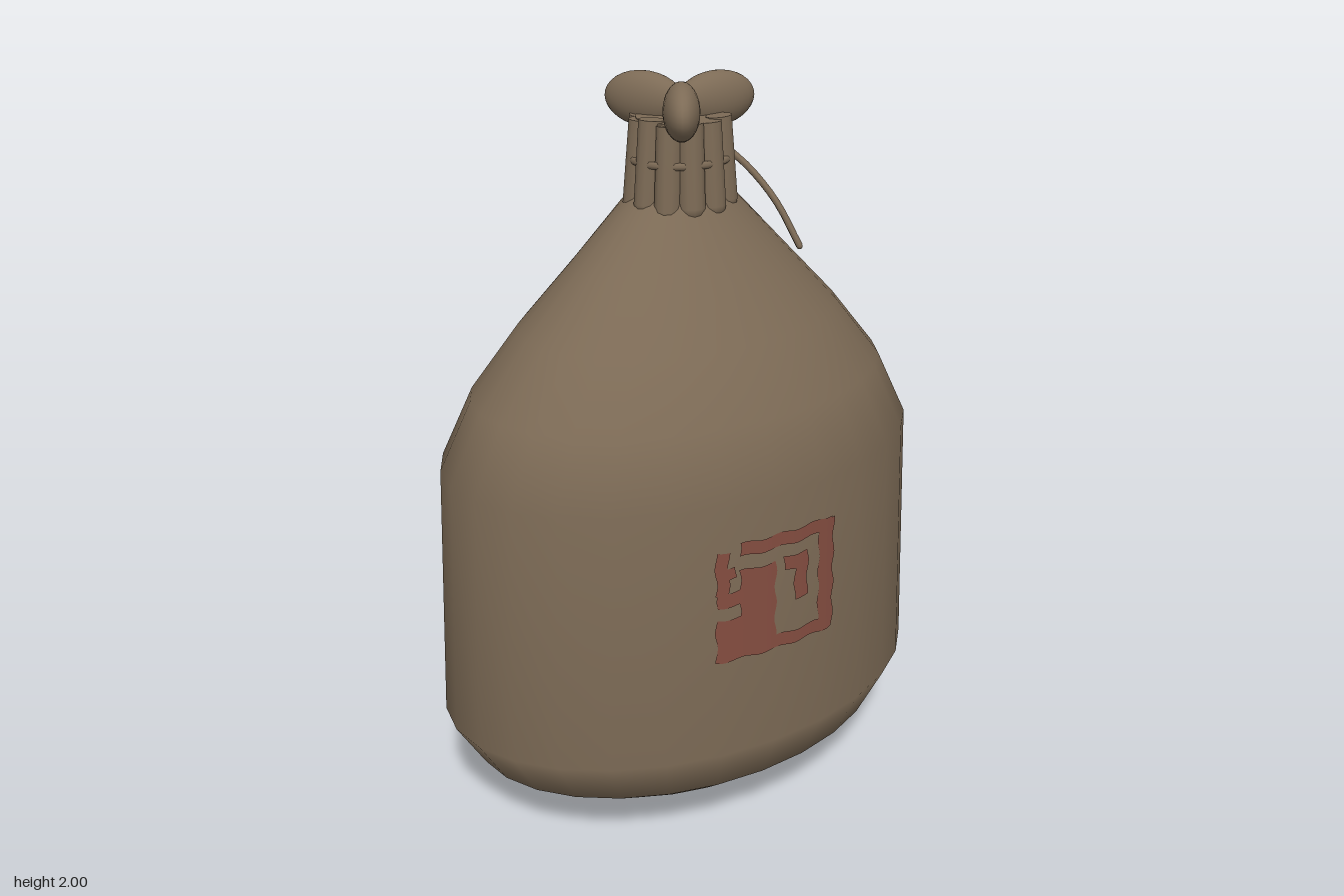
import * as THREE from 'three';
import { mergeVertices } from 'three/addons/utils/BufferGeometryUtils.js';

const cloth = new THREE.MeshStandardMaterial({ color: 0x7d6b56 });
cloth.name = 'brown cloth';
const ink = new THREE.MeshStandardMaterial({ color: 0x844d40 });
ink.name = 'faded red ink';

// Sack rings: half width, half depth, height
const RINGS = [
  [0, 0, 0.005], [0.24, 0.17, 0.03], [0.45, 0.31, 0.09], [0.625, 0.43, 0.19],
  [0.705, 0.486, 0.325], [0.675, 0.465, 1.04], [0.585, 0.402, 1.22],
  [0.45, 0.312, 1.385], [0.3, 0.213, 1.54], [0.165, 0.135, 1.68], [0.12, 0.11, 1.72],
];

function add(group, name, geometry, material = cloth) {
  const mesh = new THREE.Mesh(geometry, material);
  mesh.name = name;
  group.add(mesh);
  return mesh;
}

// Oval lathe with a welded seam so the shading is smooth all round
function sackBody() {
  const points = RINGS.map(([a, , y]) => new THREE.Vector2(a, y));
  const lathe = new THREE.LatheGeometry(points, 28);
  const pos = lathe.attributes.position;
  for (let i = 0; i < pos.count; i++) {
    const [a, b] = RINGS[i % RINGS.length];
    if (a > 0) pos.setZ(i, pos.getZ(i) * b / a);
  }
  lathe.deleteAttribute('uv');
  lathe.deleteAttribute('normal');
  const welded = mergeVertices(lathe, 1e-4);
  welded.computeVertexNormals();
  return welded;
}

// Front surface of the sack's straight middle section
function frontZ(x, y) {
  const t = (y - 0.325) / (1.04 - 0.325);
  const a = THREE.MathUtils.lerp(0.705, 0.675, t);
  const b = THREE.MathUtils.lerp(0.486, 0.465, t);
  return b * Math.sqrt(1 - (x / a) ** 2) + 0.002;
}

// Worn ink patch laid on the cloth, with slightly uneven edges
function inkPatch(x0, y0, x1, y1) {
  const w = x1 - x0, h = y1 - y0;
  const geo = new THREE.PlaneGeometry(w, h, Math.ceil(w / 0.015), Math.ceil(h / 0.015));
  geo.translate((x0 + x1) / 2, (y0 + y1) / 2, 0);
  const pos = geo.attributes.position;
  for (let i = 0; i < pos.count; i++) {
    const px = pos.getX(i), py = pos.getY(i);
    const x = px + 0.004 * Math.sin(py * 70);
    const y = py + 0.004 * Math.sin(px * 60 + 1);
    pos.setXYZ(i, x, y, frontZ(x, y));
  }
  geo.computeVertexNormals();
  return geo;
}

export function createModel() {
  const model = new THREE.Group();
  model.name = 'tiedSack';
  add(model, 'sackBody', sackBody());

  // Gathered neck: solid core ringed by pleats with rounded lower ends
  const neck = new THREE.Group();
  neck.name = 'neck';
  neck.scale.z = 0.92;
  model.add(neck);
  add(neck, 'neckCore', new THREE.CylinderGeometry(0.115, 0.125, 0.23, 24)).position.y = 1.785;
  const R = 0.036, L = 0.245;
  const pleatProfile = [
    [0, 0], [R * 0.5, 0.006], [R * 0.87, 0.018], [R, 0.036], [R * 0.95, L], [R * 0.95, L], [0, L],
  ].map(([r, y]) => new THREE.Vector2(r, y));
  const pleatGeometry = new THREE.LatheGeometry(pleatProfile, 12);
  const pleatCount = 12;
  for (let i = 0; i < pleatCount; i++) {
    const turn = new THREE.Group();
    turn.name = 'pleatTurn';
    turn.rotation.y = ((i + 0.5) / pleatCount) * Math.PI * 2;
    const pleat = add(turn, 'pleat', pleatGeometry);
    pleat.position.set(0, 1.655 + 0.006 * Math.sin(i * 2.3), 0.12);
    pleat.rotation.x = -0.08;
    neck.add(turn);
  }

  // Cord around the neck with one loose end
  const cord = add(neck, 'neckCord', new THREE.TorusGeometry(0.13, 0.01, 6, 28));
  cord.rotation.x = Math.PI / 2;
  cord.position.y = 1.8;
  const path = new THREE.CatmullRomCurve3([
    new THREE.Vector3(0.115, 1.81, 0.04), new THREE.Vector3(0.148, 1.765, 0.095),
    new THREE.Vector3(0.185, 1.69, 0.16), new THREE.Vector3(0.218, 1.585, 0.22),
  ]);
  add(model, 'looseCord', new THREE.TubeGeometry(path, 10, 0.009, 6));
  const cordTip = add(model, 'cordTip', new THREE.SphereGeometry(0.009, 6, 4));
  cordTip.position.set(0.218, 1.585, 0.22);

  // Three puffed folds of cloth on top
  for (let i = 0; i < 3; i++) {
    const turn = new THREE.Group();
    turn.name = 'topFoldTurn';
    turn.rotation.y = (i / 3) * Math.PI * 2;
    const fold = add(turn, 'topFold', new THREE.SphereGeometry(1, 24, 16));
    fold.scale.set(0.114, 0.07, 0.046);
    fold.position.set(0.102, 1.93, 0);
    model.add(turn);
  }

  // Faded square stain on the front: broken border and inner blotches
  const stain = new THREE.Group();
  stain.name = 'frontStain';
  model.add(stain);
  [
    [-0.11, 0.898, 0.18, 0.935], [-0.175, 0.8, -0.14, 0.92], [-0.15, 0.845, -0.12, 0.875],
    [0.135, 0.61, 0.188, 0.93], [-0.175, 0.608, 0.18, 0.645], [-0.175, 0.64, -0.005, 0.73],
    [-0.11, 0.7, -0.005, 0.86], [-0.17, 0.765, -0.08, 0.805],
    [0.055, 0.735, 0.097, 0.865], [0.02, 0.825, 0.08, 0.865],
  ].forEach((rect) => add(stain, 'inkPatch', inkPatch(...rect), ink));

  return model;
}
